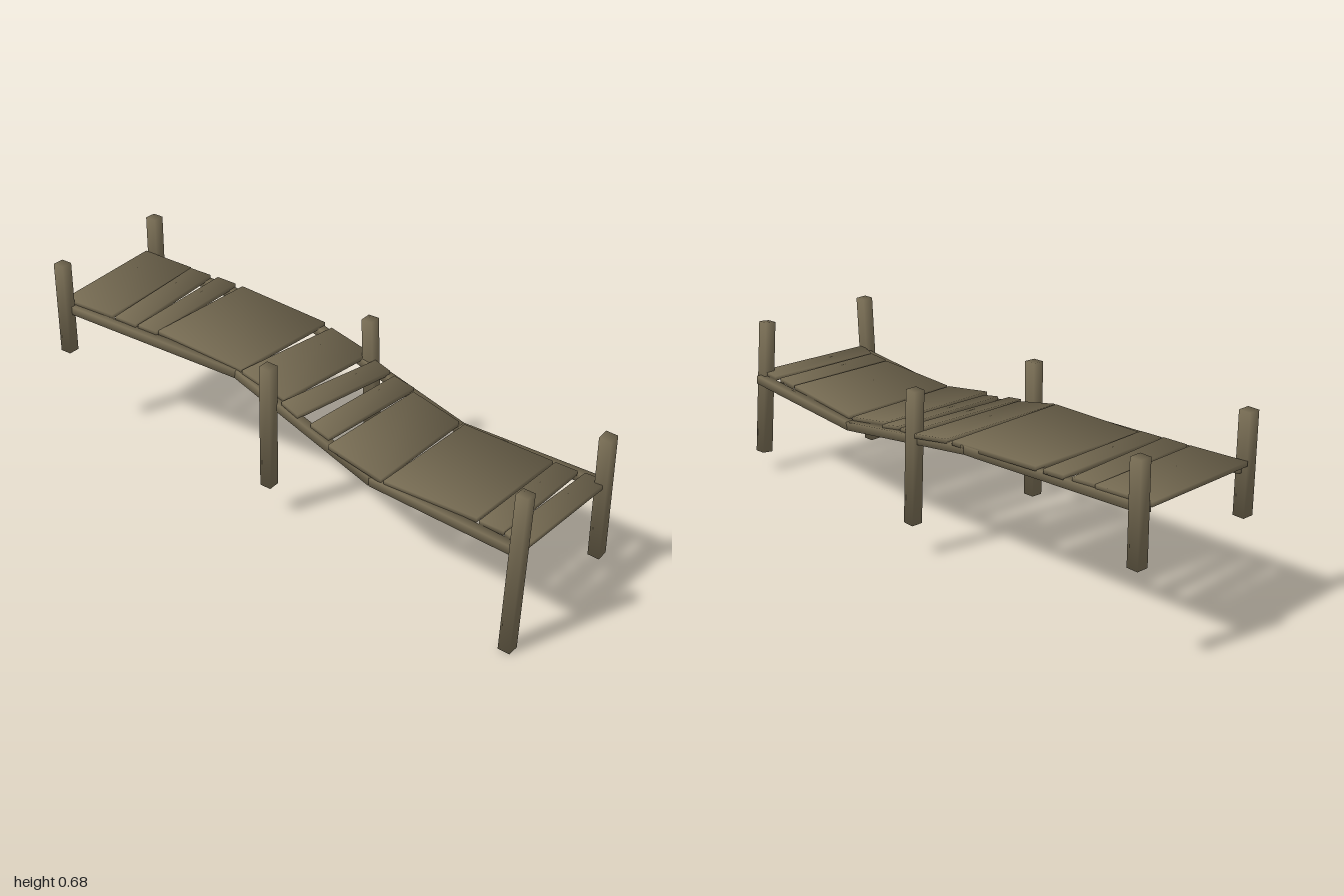
import * as THREE from 'three';

const V = (x, y, z) => new THREE.Vector3(x, y, z);

// Six-sided block between two rings of four corners, shaded softly over its corners
function block(a, b) {
  const pos = [], nor = [], rings = [a, b];
  rings.forEach((ring, r) => ring.forEach((p, i) => {
    const n = V(0, 0, 0);
    for (const q of [ring[(i + 1) % 4], ring[(i + 3) % 4], rings[1 - r][i]]) n.add(p.clone().sub(q).normalize());
    n.normalize();
    pos.push(p.x, p.y, p.z);
    nor.push(n.x, n.y, n.z);
  }));
  const index = [3, 2, 1, 3, 1, 0, 4, 5, 6, 4, 6, 7];
  for (let i = 0; i < 4; i++) {
    const j = (i + 1) % 4;
    index.push(i, j, j + 4, i, j + 4, i + 4);
  }
  const g = new THREE.BufferGeometry();
  g.setAttribute('position', new THREE.Float32BufferAttribute(pos, 3));
  g.setAttribute('normal', new THREE.Float32BufferAttribute(nor, 3));
  g.setIndex(index);
  return g;
}

// Straight square-cut timber from p to q; side sets how it is turned
function beam(p, q, side, w, h) {
  const dir = q.clone().sub(p).normalize();
  const s = side.clone().addScaledVector(dir, -side.dot(dir)).normalize();
  const u = dir.clone().cross(s);
  const ring = (c) => [[1, 1], [-1, 1], [-1, -1], [1, -1]].map(([i, j]) =>
    c.clone().addScaledVector(s, i * w / 2).addScaledVector(u, j * h / 2));
  return block(ring(p), ring(q));
}

// Height along a rail at a given x
function heightAt(rail, x) {
  let i = 0;
  while (i < rail.length - 2 && x > rail[i + 1].x) i++;
  const p = rail[i], q = rail[i + 1];
  return p.y + (q.y - p.y) * (x - p.x) / (q.x - p.x);
}

export function createModel() {
  const group = new THREE.Group();
  const wood = new THREE.MeshStandardMaterial({ color: 0x786d54 });
  wood.name = 'weathered wood';
  const add = (name, geometry) => {
    const m = new THREE.Mesh(geometry, wood);
    m.name = name;
    group.add(m);
  };
  const across = V(0.36, 0, -0.93);

  // Rails under the deck
  const frontRail = [V(-0.97, 0.5, -0.18), V(-0.27, 0.477, 0.05), V(0.27, 0.343, 0.35), V(0.79, 0.352, 0.61)];
  const backRail = [V(-0.83, 0.506, -0.595), V(-0.14, 0.473, -0.35), V(0.47, 0.337, -0.035), V(0.985, 0.352, 0.19)];
  for (const [name, rail] of [['frontRail', frontRail], ['backRail', backRail]]) {
    for (let i = 0; i < 3; i++) add(name, beam(rail[i], rail[i + 1], across, 0.032, 0.03));
  }

  // Deck planks: x, z of back left, back right, front right, front left as seen from above
  const planks = [
    [-0.85, -0.61, -0.65, -0.545, -0.79, -0.13, -0.99, -0.19],
    [-0.65, -0.54, -0.565, -0.515, -0.69, -0.095, -0.775, -0.125],
    [-0.535, -0.51, -0.46, -0.485, -0.605, -0.07, -0.68, -0.095],
    [-0.43, -0.475, -0.085, -0.345, -0.255, 0.065, -0.6, -0.08],
    [-0.055, -0.325, 0.1, -0.255, -0.085, 0.14, -0.25, 0.07],
    [0.13, -0.22, 0.19, -0.185, -0.02, 0.2, -0.085, 0.16],
    [0.21, -0.165, 0.285, -0.135, 0.1, 0.255, 0.03, 0.22],
    [0.29, -0.11, 0.465, -0.03, 0.305, 0.38, 0.11, 0.295],
    [0.485, -0.02, 0.8, 0.13, 0.635, 0.51, 0.315, 0.385],
    [0.81, 0.135, 0.885, 0.17, 0.725, 0.555, 0.645, 0.52],
    [0.91, 0.175, 0.985, 0.205, 0.8, 0.62, 0.73, 0.56],
  ];
  for (const c of planks) {
    const ring = (lift) => [0, 3, 2, 1].map((k) => {
      const x = c[2 * k];
      return V(x, heightAt(k < 2 ? backRail : frontRail, x) + lift, c[2 * k + 1]);
    });
    add('plank', block(ring(0.012), ring(0.028)));
  }

  // Posts: foot and head
  const posts = [
    [V(-0.975, 0.34, -0.16), V(-0.975, 0.68, -0.16)],
    [V(-0.817, 0.33, -0.622), V(-0.815, 0.67, -0.622)],
    [V(-0.135, 0.125, 0.153), V(-0.123, 0.595, 0.178)],
    [V(0.12, 0.122, -0.235), V(0.106, 0.59, -0.232)],
    [V(0.772, 0.003, 0.627), V(0.792, 0.57, 0.625)],
    [V(0.97, 0.077, 0.17), V(0.975, 0.56, 0.237)],
  ];
  for (const [foot, head] of posts) add('post', beam(foot, head, across, 0.042, 0.042));

  return group;
}
